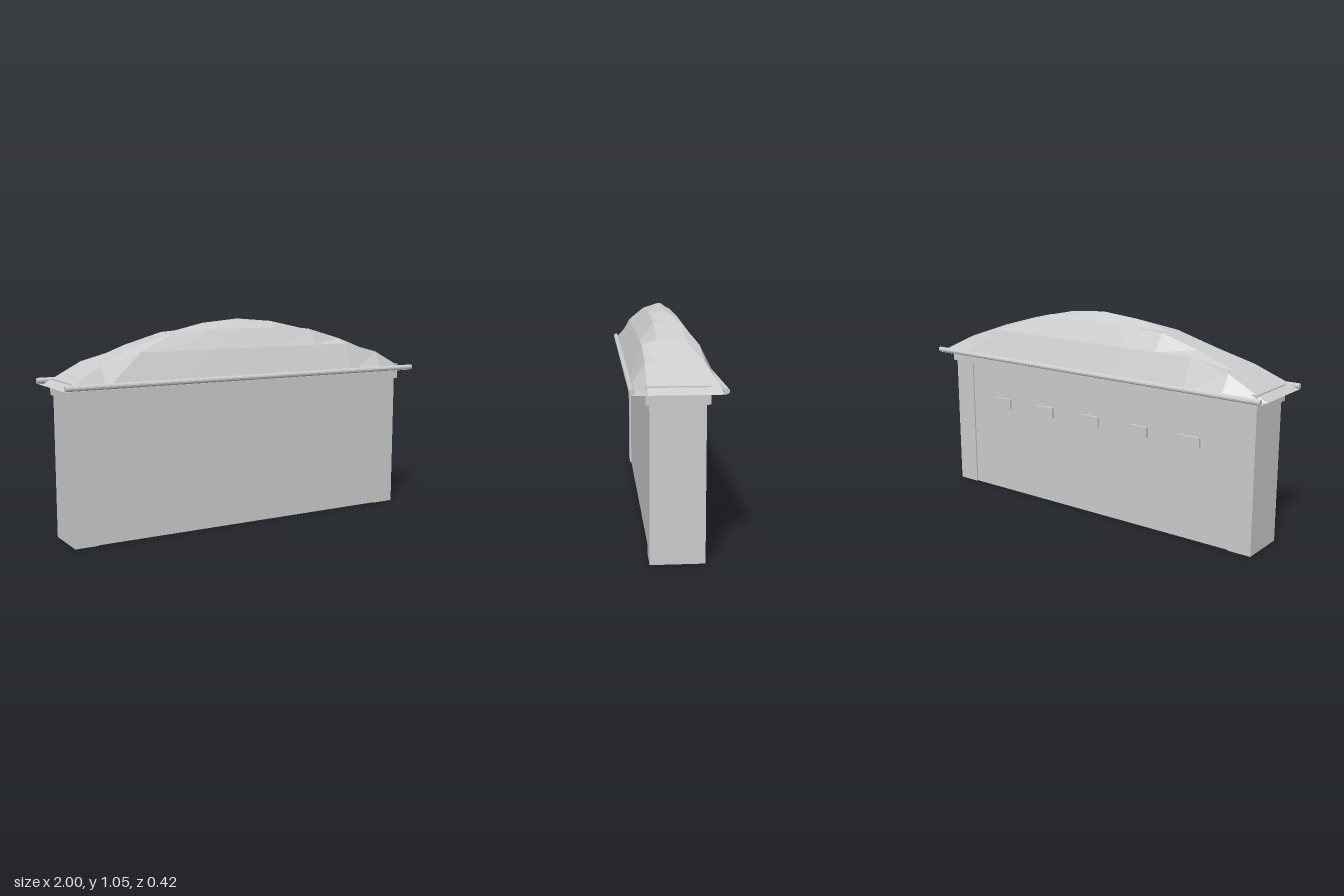
import * as THREE from 'three';

export function createModel() {
  const model = new THREE.Group();
  model.name = 'longHall';
  const stone = new THREE.MeshStandardMaterial({
    color: 0xcccccc, flatShading: true, side: THREE.DoubleSide,
  });
  stone.name = 'plain grey';

  const add = (name, geometry, x, y, z) => {
    const mesh = new THREE.Mesh(geometry, stone);
    mesh.name = name;
    mesh.position.set(x, y, z);
    model.add(mesh);
    return mesh;
  };
  const box = (name, w, h, d, x, y, z) =>
    add(name, new THREE.BoxGeometry(w, h, d), x, y, z);

  // Main wall between two slightly thicker end piers
  box('wall', 1.66, 0.71, 0.226, 0, 0.355, 0);
  for (const s of [1, -1]) {
    box(s > 0 ? 'leftPier' : 'rightPier', 0.12, 0.71, 0.242, s * 0.885, 0.355, 0);
  }

  // Cornice, whose top just pierces the roof at both ends
  box('cornice', 1.908, 0.08, 0.276, 0, 0.74, 0);

  // Row of small raised windows on the back wall
  for (let i = -2; i <= 2; i++) {
    box('backWindow', 0.11, 0.053, 0.016, i * 0.3, 0.499, -0.119);
  }

  // Faceted roof: the lower of a lengthwise and a crosswise arch
  const lengthwise = [1.047, 1.03, 0.987, 0.93, 0.855, 0.75];
  const crosswise = [1.047, 1.0, 0.906, 0.75];
  const roof = new THREE.PlaneGeometry(2, 0.39, 10, 6).rotateX(-Math.PI / 2);
  const p = roof.attributes.position;
  for (let i = 0; i < p.count; i++) {
    const a = lengthwise[Math.round(Math.abs(p.getX(i)) / 0.2)];
    const b = crosswise[Math.round(Math.abs(p.getZ(i)) / 0.065)];
    p.setY(i, Math.min(a, b));
  }
  roof.computeVertexNormals();
  add('roof', roof, 0, 0, 0);

  // Round gutters along both eaves
  for (const s of [1, -1]) {
    const gutter = new THREE.CylinderGeometry(0.0135, 0.0135, 2, 12).rotateZ(Math.PI / 2);
    add(s > 0 ? 'frontGutter' : 'backGutter', gutter, 0, 0.765, s * 0.195);
  }

  return model;
}
